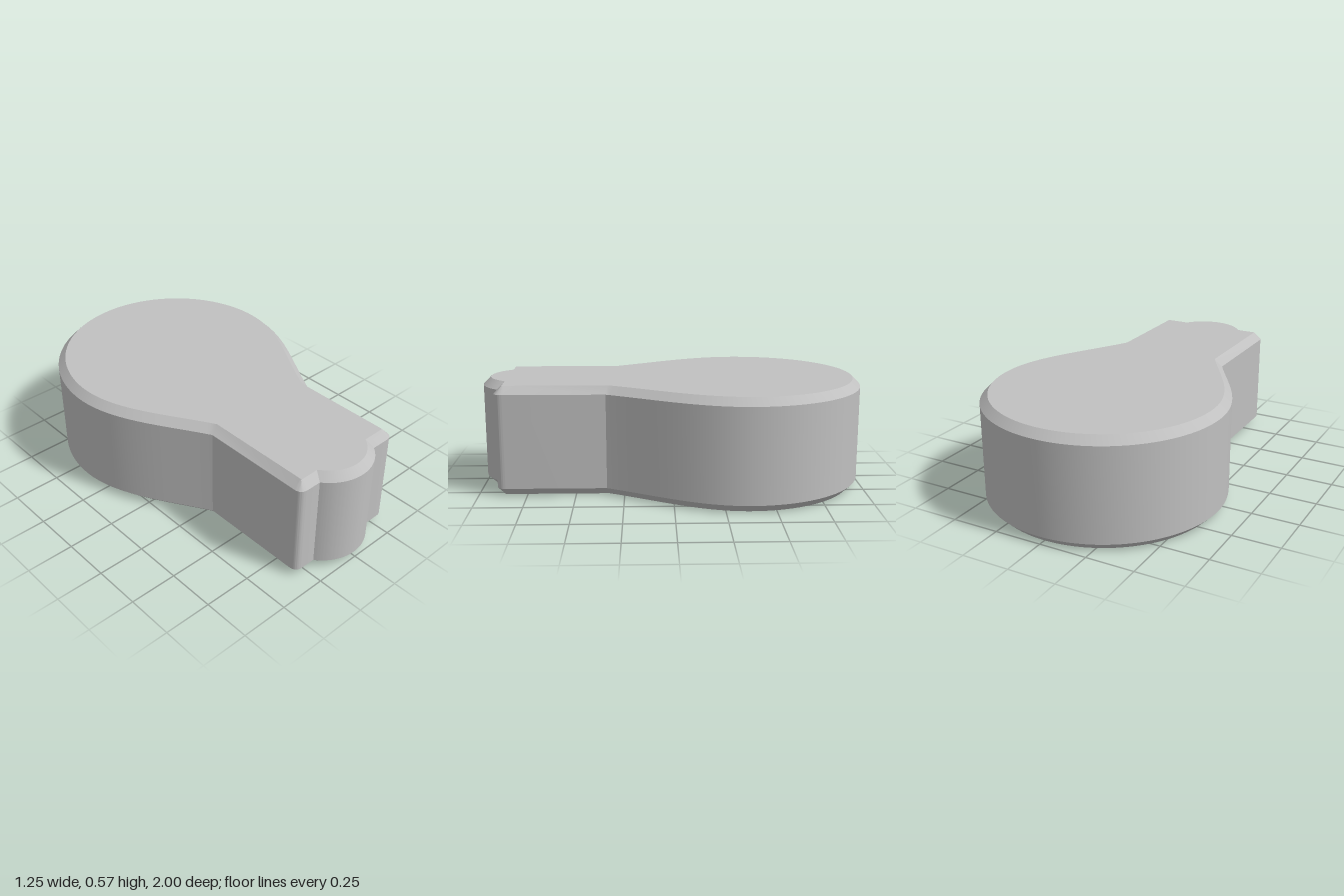
import * as THREE from 'three';
import { toCreasedNormals } from 'three/addons/utils/BufferGeometryUtils.js';

const HEIGHT = 0.57, BEVEL = 0.04;

// Bulb outline seen from above; shape y is -z
function bulbOutline() {
  const s = new THREE.Shape();
  // glass: right flank, round crown, left flank
  s.moveTo(0.32, -0.34);
  s.bezierCurveTo(0.45, -0.09, 0.625, 0.12, 0.625, 0.375);
  s.absarc(0, 0.375, 0.625, 0, Math.PI, false);
  s.bezierCurveTo(-0.625, 0.12, -0.45, -0.09, -0.325, -0.31);
  // socket: left side and rounded corner
  s.lineTo(-0.325, -0.86);
  s.quadraticCurveTo(-0.325, -0.905, -0.28, -0.905);
  // rounded contact at the tip
  const r = 0.2375, cy = -1 + r, a = Math.acos((0.905 + cy) / r);
  s.absarc(-0.0125, cy, r, -Math.PI / 2 - a, -Math.PI / 2 + a, false);
  // socket: right corner and side
  s.lineTo(0.27, -0.905);
  s.quadraticCurveTo(0.32, -0.905, 0.32, -0.855);

  // drop coincident points so the bevel stays clean
  const pts = s.getPoints(32);
  return new THREE.Shape(pts.filter((p, i) => p.distanceTo(pts[(i + 1) % pts.length]) > 1e-4));
}

export function createModel() {
  const group = new THREE.Group();
  group.name = 'lightBulbBlock';
  const grey = new THREE.MeshStandardMaterial({ color: 0xc0c0c0 });
  grey.name = 'grey';

  // Solid slab with chamfered top and bottom rims
  let geo = new THREE.ExtrudeGeometry(bulbOutline(), {
    depth: HEIGHT - 2 * BEVEL,
    bevelEnabled: true,
    bevelThickness: BEVEL,
    bevelSize: BEVEL,
    bevelOffset: -BEVEL,
    bevelSegments: 1,
  });
  geo.rotateX(-Math.PI / 2);
  geo.translate(0, BEVEL, 0);
  geo = toCreasedNormals(geo, 0.4);

  const body = new THREE.Mesh(geo, grey);
  body.name = 'bulbBody';
  group.add(body);
  return group;
}
